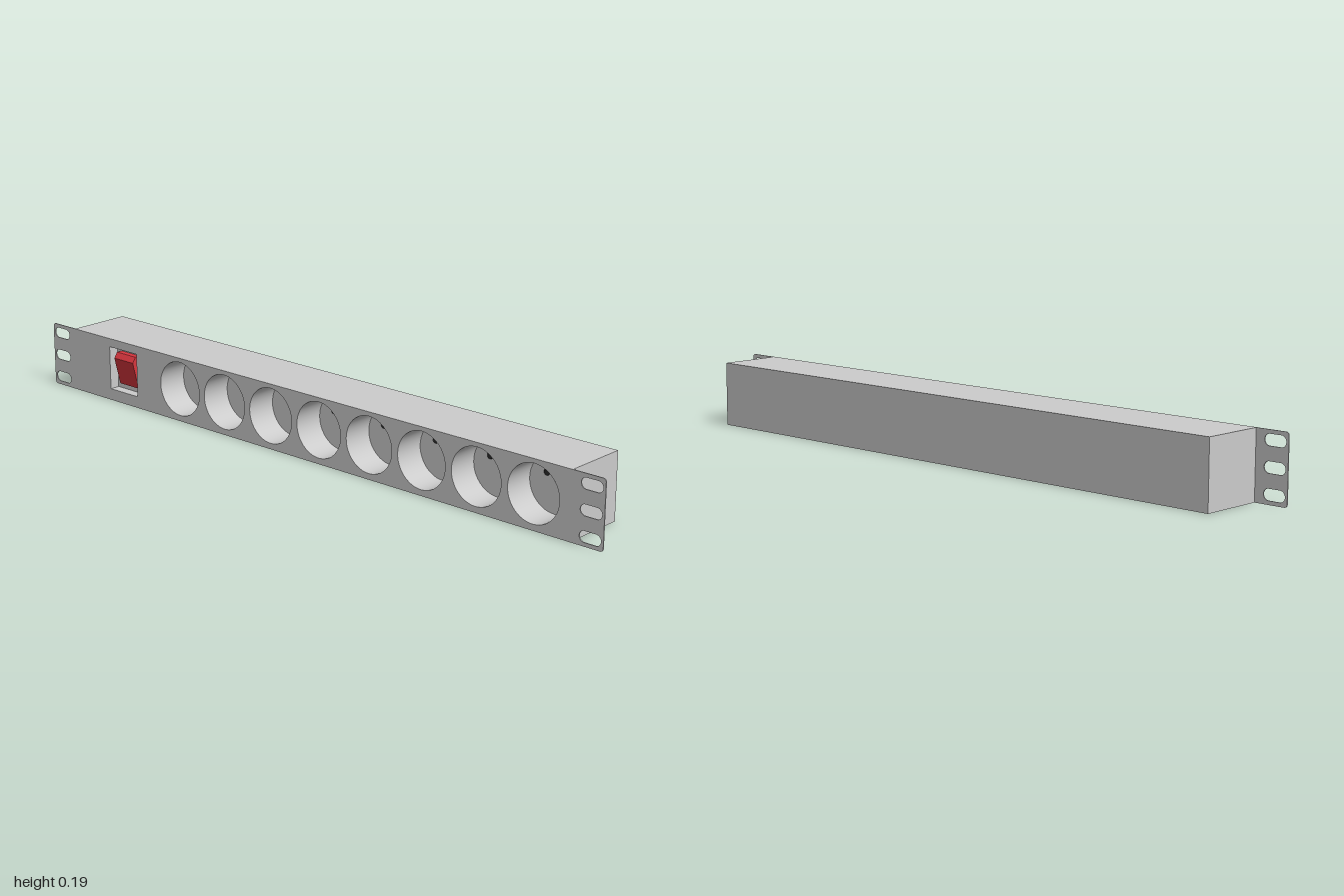
import * as THREE from 'three';

const H = 0.187, MID = H / 2;
const FRONT = 0.094, SHEET = 0.003;          // front face and sheet thickness
const BODY_FRONT = FRONT - SHEET;
const SOCKET_R = 0.079, SOCKET_DEPTH = 0.09;
const FLOOR_Z = FRONT - SOCKET_DEPTH;
const SOCKETS = 8, FIRST_X = -0.457, PITCH = 0.178;
const PINS = [[-0.027, 0.026], [0.026, -0.026]]; // contact holes in each socket
const PIN_R = 0.009;
const SWITCH = { x: -0.6935, y: 0.098, w: 0.115, h: 0.128, depth: 0.03 };

const grey = new THREE.MeshStandardMaterial({ color: 0xcccccc, side: THREE.DoubleSide });
const red = new THREE.MeshStandardMaterial({ color: 0xd9363e });
const dark = new THREE.MeshStandardMaterial({ color: 0x151515, side: THREE.DoubleSide });

function add(parent, name, geometry, material, x = 0, y = 0, z = 0) {
  const mesh = new THREE.Mesh(geometry, material);
  mesh.name = name;
  mesh.position.set(x, y, z);
  parent.add(mesh);
  return mesh;
}

// Rounded rectangle centred on cx, cy
function roundRect(path, cx, cy, w, h, r) {
  const x = w / 2 - r, y = h / 2 - r;
  path.absarc(cx + x, cy + y, r, 0, Math.PI / 2);
  path.absarc(cx - x, cy + y, r, Math.PI / 2, Math.PI);
  path.absarc(cx - x, cy - y, r, Math.PI, Math.PI * 1.5);
  path.absarc(cx + x, cy - y, r, Math.PI * 1.5, Math.PI * 2);
  path.closePath();
  return path;
}

function rectPath(cx, cy, w, h) {
  return new THREE.Path().setFromPoints([[-1, -1], [1, -1], [1, 1], [-1, 1], [-1, -1]].map(
    ([a, b]) => new THREE.Vector2(cx + a * w / 2, cy + b * h / 2)));
}

const circle = (x, y, r) => new THREE.Path().absarc(x, y, r, 0, Math.PI * 2);

// Round wall running back from z = 0
function wall(r, depth, segments) {
  return new THREE.CylinderGeometry(r, r, depth, segments, 1, true)
    .rotateX(Math.PI / 2).translate(0, 0, -depth / 2);
}

// Box with one side (0..5 = +x -x +y -y +z -z) left open
function openBox(w, h, d, side) {
  const g = new THREE.BoxGeometry(w, h, d);
  g.setIndex(Array.from(g.index.array).filter((_, i) => Math.floor(i / 6) !== side));
  g.clearGroups();
  return g;
}

function makeSocket() {
  const socket = new THREE.Group();
  socket.name = 'socket';
  add(socket, 'socketWall', wall(SOCKET_R, SOCKET_DEPTH - 0.001, 48), grey, 0, 0, FRONT - 0.001);

  const floor = new THREE.Shape().absarc(0, 0, SOCKET_R, 0, Math.PI * 2);
  PINS.forEach(([x, y]) => floor.holes.push(circle(x, y, PIN_R)));
  add(socket, 'socketFloor', new THREE.ShapeGeometry(floor, 24), grey, 0, 0, FLOOR_Z);

  PINS.forEach(([x, y]) => {
    add(socket, 'contactHoleWall', wall(PIN_R, 0.03, 20), dark, x, y, FLOOR_Z);
    add(socket, 'contactHoleEnd', new THREE.CircleGeometry(PIN_R, 20), dark, x, y, FLOOR_Z - 0.03);
  });

  // Earth pin standing out of the floor
  const pin = new THREE.CylinderGeometry(0.008, 0.008, 0.035, 20).rotateX(Math.PI / 2);
  add(socket, 'earthPin', pin, grey, 0.027, 0.03, FLOOR_Z + 0.0175);
  return socket;
}

function makeSwitch() {
  const group = new THREE.Group();
  group.name = 'powerSwitch';
  const { x, y, w, h, depth } = SWITCH;
  add(group, 'switchRecess', openBox(w, h, depth - 0.001, 4), grey, x, y, FRONT - (depth + 0.001) / 2);

  // Rocker side profile in (z, y), tilted with its ridge near the top
  const back = FRONT - depth;
  const profile = new THREE.Shape([
    [back, 0.05], [0.073, 0.05], [0.093, 0.131], [0.082, 0.147], [back, 0.147],
  ].map(([z, py]) => new THREE.Vector2(z, py)));
  const width = 0.079;
  const rocker = new THREE.ExtrudeGeometry(profile, { depth: width, bevelEnabled: false });
  rocker.rotateY(-Math.PI / 2);
  add(group, 'switchRocker', rocker, red, x + width / 2, 0, 0);
  return group;
}

export function createModel() {
  const model = new THREE.Group();
  model.name = 'rackPowerStrip';

  // Front plate with mounting slots, socket openings and switch opening
  const plate = roundRect(new THREE.Shape(), 0, MID, 2, H, 0.009);
  for (const side of [-1, 1]) {
    for (const row of [-1, 0, 1]) {
      plate.holes.push(roundRect(new THREE.Path(), side * 0.961, MID + row * 0.068, 0.064, 0.03, 0.0149));
    }
  }
  plate.holes.push(rectPath(SWITCH.x, SWITCH.y, SWITCH.w, SWITCH.h));
  for (let i = 0; i < SOCKETS; i++) {
    const x = FIRST_X + i * PITCH;
    plate.holes.push(circle(x, 0.096, SOCKET_R));
    const socket = makeSocket();
    socket.position.set(x, 0.096, 0);
    model.add(socket);
  }
  const plateGeometry = new THREE.ExtrudeGeometry(plate, { depth: SHEET, bevelEnabled: false, curveSegments: 24 });
  add(model, 'frontPlate', plateGeometry, grey, 0, 0, BODY_FRONT);

  // Housing behind the plate, open at the front
  const bodyDepth = BODY_FRONT + FRONT;
  add(model, 'housing', openBox(1.806, H, bodyDepth, 4), grey, 0, MID, BODY_FRONT - bodyDepth / 2);

  model.add(makeSwitch());
  return model;
}
